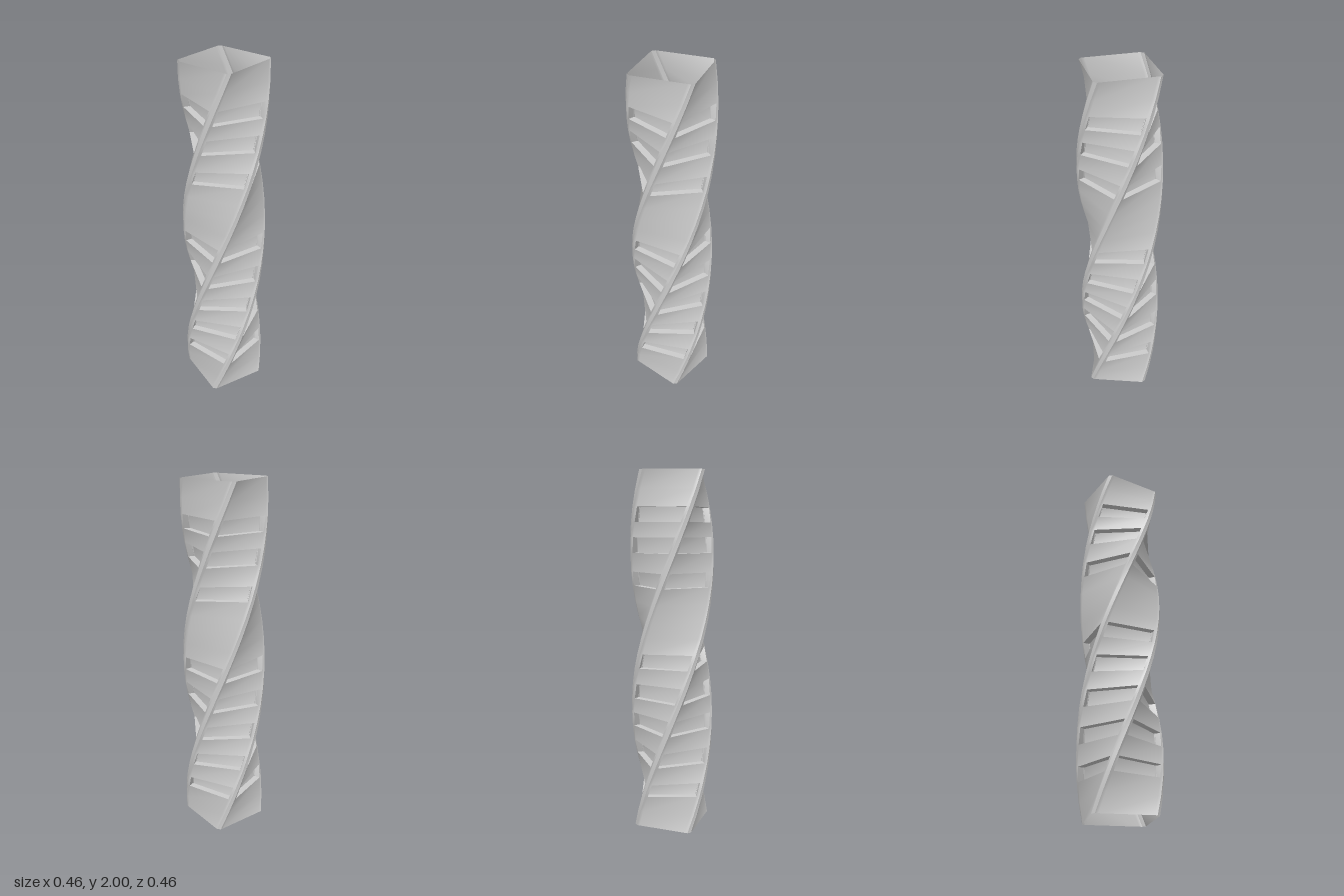
import * as THREE from 'three';

const HALF = 0.171;      // distance from axis to each wall
const EDGE = 0.155;      // half width of a wall up to the corner bevel
const SLOT = 0.138;      // half width of a recess
const DEPTH = 0.037;     // how far a recess is pushed in
const TWIST = THREE.MathUtils.degToRad(100); // turn per unit of height

// recess rows, [top, bottom]
const SLOTS = [
  [1.81, 1.73], [1.65, 1.565], [1.46, 1.38], [1.018, 0.934],
  [0.838, 0.748], [0.655, 0.568], [0.467, 0.382], [0.275, 0.2],
];
const LEVELS = [2, 1.9, ...SLOTS.slice(0, 3).flat(), 1.29, 1.2, 1.11, ...SLOTS.slice(3).flat(), 0.1, 0];

const material = new THREE.MeshStandardMaterial({ color: 0xcccccc, side: THREE.DoubleSide });

// point on the twisted front wall: u across, y up, d out from the axis
function point(u, y, d = HALF) {
  const a = Math.PI / 2 + TWIST * (2 - y);
  return [Math.cos(a) * d - Math.sin(a) * u, y, Math.sin(a) * d + Math.cos(a) * u];
}

function makeMesh(name, positions, indices) {
  const g = new THREE.BufferGeometry();
  g.setAttribute('position', new THREE.Float32BufferAttribute(positions, 3));
  g.setIndex(indices);
  g.computeVertexNormals();
  const mesh = new THREE.Mesh(g, material);
  mesh.name = name;
  return mesh;
}

// grid of columns running down all levels, with cells left out where skip says so
function strip(name, columns, skip = () => false) {
  const pos = [], idx = [], n = columns.length;
  LEVELS.forEach((y, r) => {
    columns.forEach((column) => pos.push(...column(y)));
    if (r === LEVELS.length - 1) return;
    for (let c = 0; c < n - 1; c++) {
      if (skip(y, c)) continue;
      const a = r * n + c, b = a + n;
      idx.push(a, a + 1, b + 1, a, b + 1, b);
    }
  });
  return makeMesh(name, pos, idx);
}

// pocket with four reveals and a back panel, sharp edged
function recess(top, bottom) {
  const pos = [], idx = [];
  const quad = (...corners) => {
    const k = pos.length / 3;
    corners.forEach((p) => pos.push(...p));
    idx.push(k, k + 1, k + 2, k, k + 2, k + 3);
  };
  const corners = [[-SLOT, top], [SLOT, top], [SLOT, bottom], [-SLOT, bottom]];
  const outer = corners.map(([u, y]) => point(u, y));
  const inner = corners.map(([u, y]) => point(u, y, HALF - DEPTH));
  for (let i = 0; i < 4; i++) {
    const j = (i + 1) % 4;
    quad(outer[i], outer[j], inner[j], inner[i]);
  }
  quad(...inner);
  return makeMesh('windowRecess', pos, idx);
}

export function createModel() {
  const tower = new THREE.Group();
  tower.name = 'twistedTower';
  const slotTops = new Set(SLOTS.map((s) => s[0]));

  for (let k = 0; k < 4; k++) {
    const side = new THREE.Group();
    side.name = 'towerSide';
    side.rotation.y = k * Math.PI / 2;

    // wall with openings for the recesses
    const columns = [-EDGE, -SLOT, SLOT, EDGE].map((u) => (y) => point(u, y));
    side.add(strip('wall', columns, (y, c) => c === 1 && slotTops.has(y)));

    // bevelled corner strip joining the next wall
    side.add(strip('cornerBevel', [(y) => point(EDGE, y), (y) => point(HALF, y, EDGE)]));

    SLOTS.forEach(([top, bottom]) => side.add(recess(top, bottom)));
    tower.add(side);
  }
  return tower;
}
